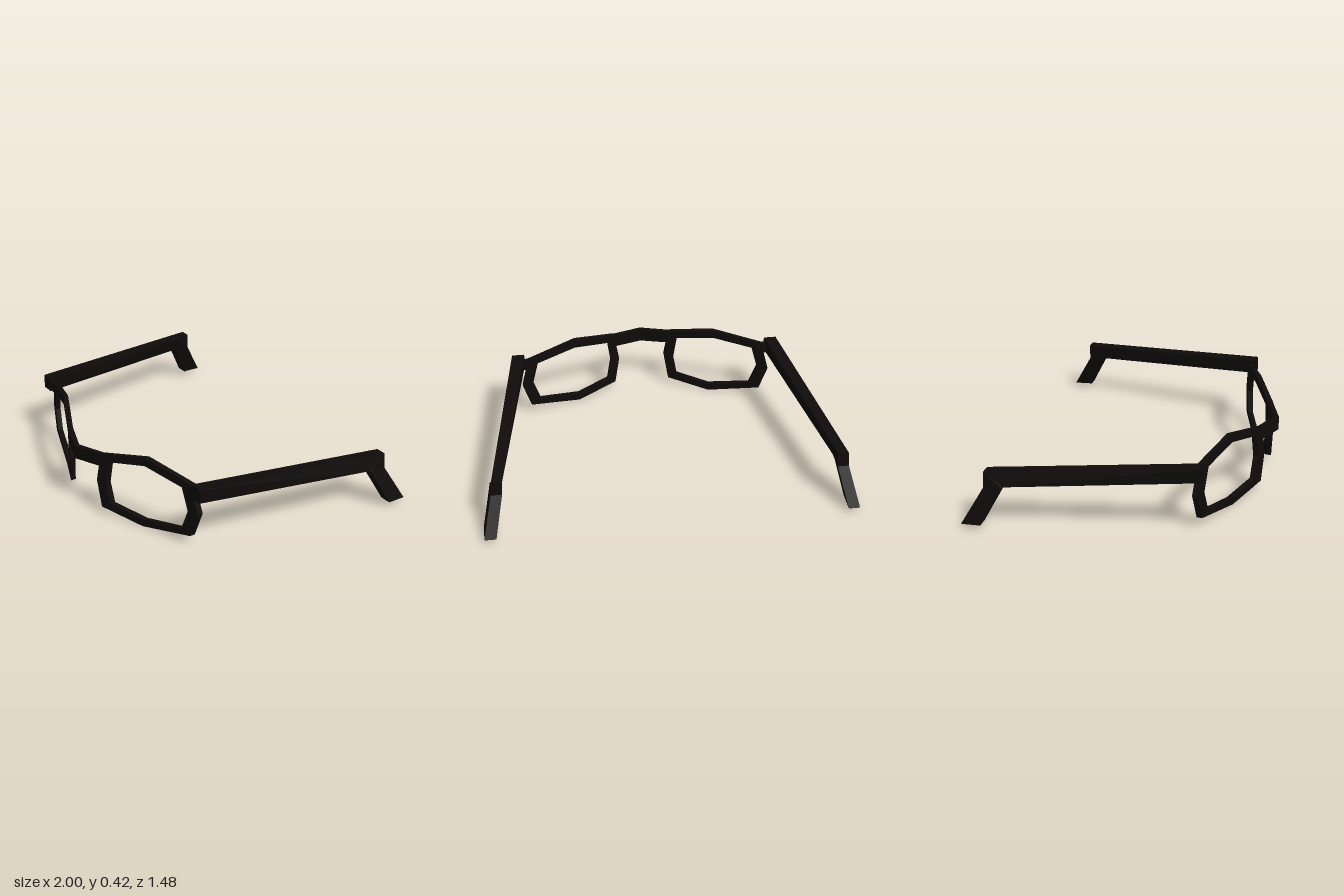
import * as THREE from 'three';

const material = new THREE.MeshStandardMaterial({ color: 0x0f0b0a, flatShading: true });

// Joins four-cornered sections into a solid bar; closed joins the last to the first.
function loft(name, sections, { closed = false, flip = false } = {}) {
  const index = [];
  const tri = (a, b, c) => (flip ? index.push(a, c, b) : index.push(a, b, c));
  const n = sections.length;
  for (let i = 0; i < (closed ? n : n - 1); i++) {
    const j = (i + 1) % n;
    for (let k = 0; k < 4; k++) {
      const l = (k + 1) % 4;
      tri(i * 4 + k, i * 4 + l, j * 4 + l);
      tri(i * 4 + k, j * 4 + l, j * 4 + k);
    }
  }
  if (!closed) {
    const e = (n - 1) * 4;
    tri(0, 2, 1); tri(0, 3, 2);
    tri(e, e + 1, e + 2); tri(e, e + 2, e + 3);
  }
  let geometry = new THREE.BufferGeometry();
  geometry.setAttribute('position', new THREE.Float32BufferAttribute(sections.flat(2), 3));
  geometry.setIndex(index);
  geometry = geometry.toNonIndexed();
  geometry.computeVertexNormals();
  const mesh = new THREE.Mesh(geometry, material);
  mesh.name = name;
  return mesh;
}

// Depth of the swept-back front at a distance from the middle
const sweep = [[0, 0.725], [0.17, 0.663], [0.41, 0.55], [0.73, 0.44], [0.8, 0.42]];
function frontZ(x) {
  const i = Math.max(1, sweep.findIndex(p => p[0] >= x));
  const [a, b] = [sweep[i - 1], sweep[i]];
  return a[1] + (b[1] - a[1]) * (x - a[0]) / (b[0] - a[0]);
}
const HALF = 0.015; // half the thickness of the front

// Eight-sided rim: outer x, y and inner x, y, counter-clockwise from the outer side
const rim = [
  [0.73, 0.205, 0.67, 0.205], [0.688, 0.368, 0.635, 0.335],
  [0.411, 0.425, 0.411, 0.377], [0.166, 0.37, 0.21, 0.335],
  [0.137, 0.203, 0.191, 0.203], [0.163, 0.045, 0.213, 0.08],
  [0.393, 0.003, 0.397, 0.045], [0.684, 0.06, 0.63, 0.085],
];

// Arm: inner x, outer x, then y, z of the upper and of the lower edge
const arm = [
  [0.71, 0.78, 0.387, 0.48, 0.31, 0.482],
  [0.885, 0.942, 0.312, -0.613, 0.236, -0.512],
  [0.89, 0.95, 0.226, -0.614, 0.235, -0.514],
  [0.937, 0.999, 0.025, -0.728, 0.03, -0.622],
];

export function createModel() {
  const group = new THREE.Group();
  group.name = 'glasses';
  const frame = new THREE.Group();
  frame.name = 'frame';
  group.add(frame);

  for (const s of [1, -1]) {
    const side = s > 0 ? 'left' : 'right';
    const options = { flip: s < 0 };

    frame.add(loft(side + 'Rim', rim.map(([ox, oy, ix, iy]) => [
      [s * ox, oy, frontZ(ox) + HALF], [s * ox, oy, frontZ(ox) - HALF],
      [s * ix, iy, frontZ(ix) - HALF], [s * ix, iy, frontZ(ix) + HALF],
    ]), { closed: true, ...options }));

    frame.add(loft(side + 'Arm', arm.map(([xi, xo, ty, tz, by, bz]) => [
      [s * xo, ty, tz], [s * xo, by, bz], [s * xi, by, bz], [s * xi, ty, tz],
    ]), options));

    // Short hinge block between the rim corner and the arm
    frame.add(loft(side + 'Hinge', [[0.665, 0.366, 0.3, 0.457], [0.735, 0.362, 0.312, 0.455]]
      .map(([x, t, b, z]) => [
        [s * x, t, z + HALF], [s * x, b, z + HALF], [s * x, b, z - HALF], [s * x, t, z - HALF],
      ]), options));
  }

  // Bridge, bent in the middle
  frame.add(loft('bridge', [[-0.175, 0.368, 0.296], [0, 0.361, 0.287], [0.175, 0.368, 0.296]]
    .map(([x, t, b]) => {
      const z = frontZ(Math.abs(x));
      return [[x, t, z + HALF], [x, b, z + HALF], [x, b, z - HALF], [x, t, z - HALF]];
    })));

  // The frame sits turned very slightly
  frame.rotation.y = -0.016;
  frame.position.x = -0.014;
  return group;
}
